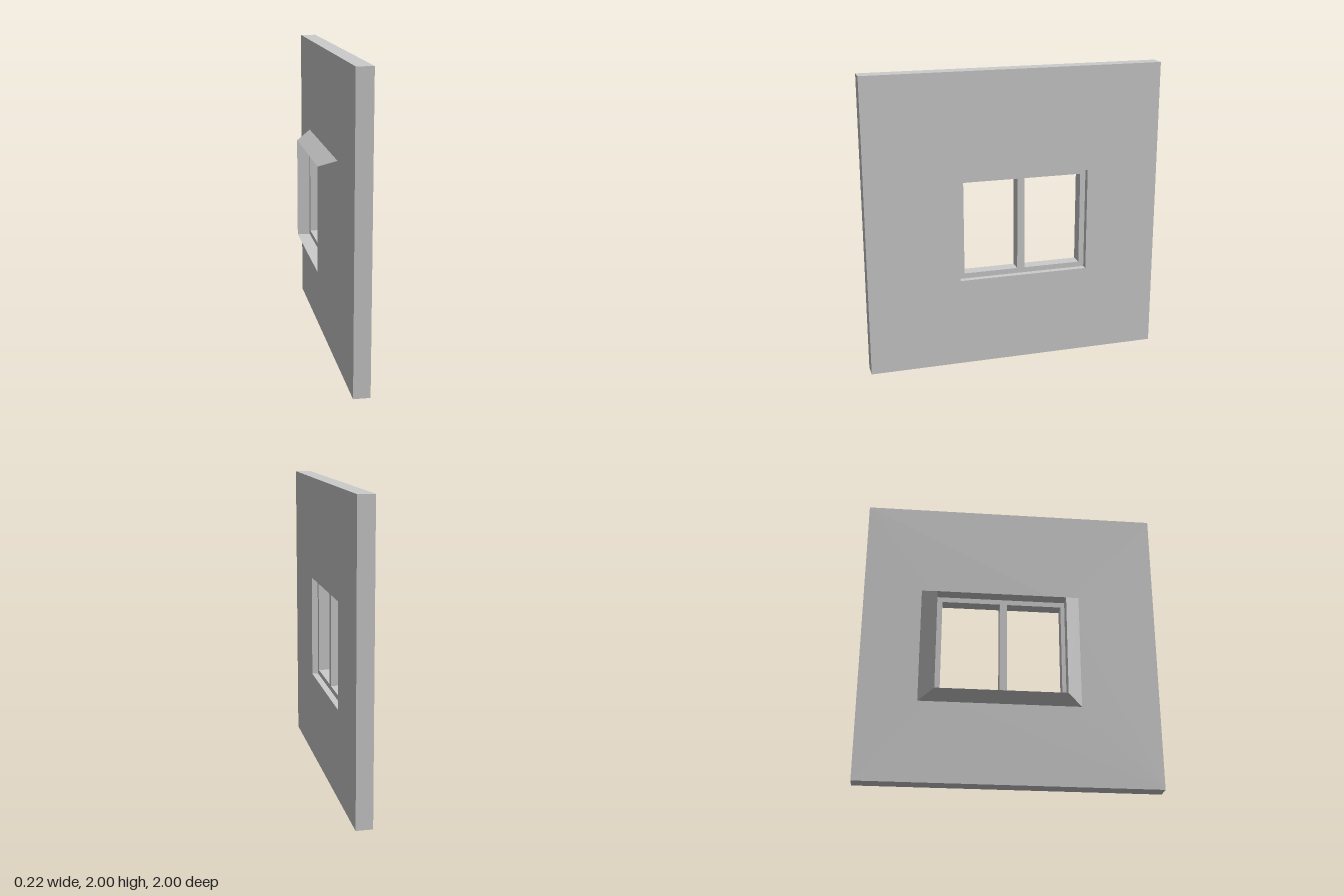
import * as THREE from 'three';

const material = new THREE.MeshStandardMaterial({ color: 0xcccccc, flatShading: true, side: THREE.DoubleSide });

// Rectangle corners, with u running along -z and v up
function corners(u0, u1, v0, v1) {
  return [[u0, v0], [u1, v0], [u1, v1], [u0, v1]].map(([u, v]) => new THREE.Vector2(u, v));
}

// Rectangular panel with rectangular holes, spanning x0 to x1
function panel(name, outline, holes, x0, x1) {
  const shape = new THREE.Shape(corners(...outline));
  for (const hole of holes) shape.holes.push(new THREE.Path(corners(...hole).reverse()));
  const geometry = new THREE.ExtrudeGeometry(shape, { depth: x1 - x0, bevelEnabled: false });
  geometry.rotateY(Math.PI / 2).translate(x0, 0, 0);
  const mesh = new THREE.Mesh(geometry, material);
  mesh.name = name;
  return mesh;
}

// Surround whose wedge section tapers from a wide base to a thin outer edge
function taperedSurround(base, opening, xBase, xTip) {
  const loops = [[base, xBase], [opening, xTip], [opening, xBase]]
    .map(([rect, x]) => corners(...rect).map((p) => [x, p.y, -p.x]));
  const positions = [];
  for (let k = 0; k < 3; k++) {
    const from = loops[k], to = loops[(k + 1) % 3];
    for (let i = 0; i < 4; i++) {
      const j = (i + 1) % 4;
      positions.push(...from[i], ...to[i], ...to[j], ...from[i], ...to[j], ...from[j]);
    }
  }
  const geometry = new THREE.BufferGeometry();
  geometry.setAttribute('position', new THREE.Float32BufferAttribute(positions, 3));
  geometry.computeVertexNormals();
  const mesh = new THREE.Mesh(geometry, material);
  mesh.name = 'taperedSurround';
  return mesh;
}

export function createModel() {
  const group = new THREE.Group();
  group.name = 'wallWithWindow';
  const opening = [-0.38, 0.503, 0.6, 1.3];

  // Wall slab with the window opening
  group.add(panel('wall', [-1, 1, 0, 2], [opening], 0, 0.108));

  // Window frame with two lights and a centre mullion
  group.add(panel('windowFrame', opening,
    [[-0.343, 0.025, 0.635, 1.265], [0.075, 0.466, 0.635, 1.265]], -0.02, 0.066));

  // Projecting surround with sloping sides
  group.add(taperedSurround([-0.475, 0.608, 0.548, 1.355], [-0.37, 0.503, 0.6, 1.3], 0, -0.108));

  return group;
}
